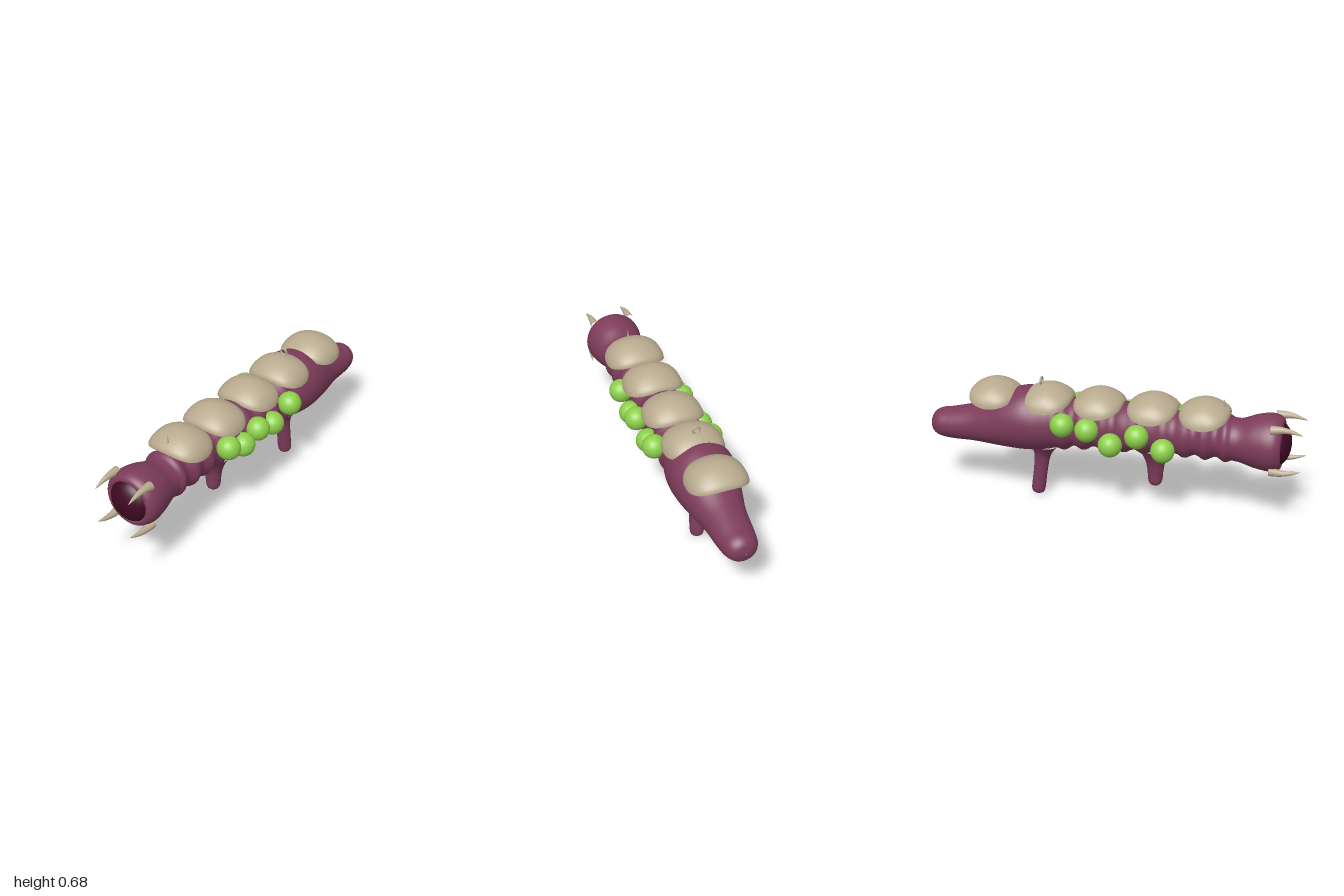
import * as THREE from 'three';

const mat = (name, color, side = THREE.FrontSide) => {
  const m = new THREE.MeshStandardMaterial({ color, side });
  m.name = name;
  return m;
};

// Smooth skin over elliptical rings { x, y, z, rx, ry }, listed from front to back
function loft(rings, sides) {
  const pos = [], index = [];
  rings.forEach((r, i) => {
    for (let j = 0; j < sides; j++) {
      const a = (j / sides) * Math.PI * 2;
      pos.push(r.x + r.rx * Math.cos(a), r.y + r.ry * Math.sin(a), r.z);
      if (i === rings.length - 1) continue;
      const k = (j + 1) % sides;
      const p = i * sides + j, q = i * sides + k;
      index.push(p, p + sides, q, q, p + sides, q + sides);
    }
  });
  const g = new THREE.BufferGeometry();
  g.setAttribute('position', new THREE.Float32BufferAttribute(pos, 3));
  g.setIndex(index);
  g.computeVertexNormals();
  return g;
}

// Body stations: z, top, bottom, half width
const STATIONS = [
  [0.88, 0.54, 0.34, 0.1], [0.893, 0.552, 0.326, 0.113], [0.885, 0.572, 0.306, 0.133],
  [0.855, 0.587, 0.292, 0.149], [0.81, 0.588, 0.293, 0.15], [0.75, 0.575, 0.303, 0.138],
  [0.68, 0.548, 0.322, 0.118], [0.63, 0.55, 0.325, 0.115], [0.5, 0.56, 0.325, 0.118],
  [0.2, 0.565, 0.32, 0.122], [-0.1, 0.57, 0.31, 0.126], [-0.28, 0.58, 0.292, 0.142],
  [-0.38, 0.6, 0.275, 0.165], [-0.46, 0.612, 0.268, 0.173], [-0.55, 0.585, 0.27, 0.163],
  [-0.65, 0.53, 0.275, 0.137], [-0.75, 0.485, 0.28, 0.112], [-0.88, 0.45, 0.28, 0.097],
  [-0.95, 0.436, 0.29, 0.082], [-0.985, 0.41, 0.315, 0.053], [-1, 0.365, 0.36, 0.003],
];

function bodyGeometry() {
  const rings = [];
  const steps = 14;
  for (let i = 0; i < STATIONS.length - 1; i++) {
    const at = (k) => STATIONS[Math.min(Math.max(k, 0), STATIONS.length - 1)];
    for (let s = 0; s < steps + (i === STATIONS.length - 2 ? 1 : 0); s++) {
      const t = s / steps;
      const [z, top, bottom, w] = [0, 1, 2, 3].map((c) => {
        const a = at(i - 1)[c], b = at(i)[c], d = at(i + 1)[c], e = at(i + 2)[c];
        return b + 0.5 * t * (d - a + t * (2 * a - 5 * b + 4 * d - e + t * (3 * (b - d) + e - a)));
      });
      // ridged folds around the middle of the body
      const fade = THREE.MathUtils.smoothstep(z, -0.34, -0.22) * (1 - THREE.MathUtils.smoothstep(z, 0.61, 0.66));
      const ridge = 0.011 * fade * Math.cos(((z - 0.61) / 0.107) * Math.PI * 2);
      rings.push({ x: 0, y: (top + bottom) / 2, z, rx: w + ridge, ry: (top - bottom) / 2 + ridge });
    }
  }
  return loft(rings, 48);
}

// Open shell whose rim arches up at its front and back ends
function plateGeometry() {
  const g = new THREE.SphereGeometry(1, 40, 16, 0, Math.PI * 2, 0, Math.PI / 2);
  const p = g.attributes.position;
  for (let i = 0; i < p.count; i++) {
    const x = p.getX(i), y = p.getY(i), z = p.getZ(i);
    const fuller = 1 + 0.35 * x * x * z * z;
    p.setXYZ(i, 0.156 * x * fuller, 0.118 * y + 0.042 * z * z * (1 - y), 0.13 * z * fuller);
  }
  g.computeVertexNormals();
  return g;
}

// Curved tooth, tip first; up is +1 for the upper pair and -1 for the lower pair
function toothGeometry(up) {
  const rings = [];
  for (let i = 0; i <= 12; i++) {
    const t = i / 12;
    const r = 0.001 + 0.023 * Math.pow(t, 0.8);
    rings.push({ x: 0, y: up * (0.014 * t + 0.012 * Math.sin(Math.PI * t)), z: -0.16 * t, rx: r, ry: r });
  }
  return loft(rings, 16);
}

export function createModel() {
  const group = new THREE.Group();
  const skin = mat('plum skin', 0x7d3c5a);
  const bone = mat('bone', 0xb8aa8e);
  const shell = mat('bone shell', 0xb8aa8e, THREE.DoubleSide);
  const green = mat('green', 0x8ed04b);
  const dark = mat('dark mouth', 0x3f0a22);

  const add = (name, geometry, material, x = 0, y = 0, z = 0) => {
    const m = new THREE.Mesh(geometry, material);
    m.name = name;
    m.position.set(x, y, z);
    group.add(m);
    return m;
  };

  add('body', bodyGeometry(), skin);

  // Mouth
  add('mouth', new THREE.SphereGeometry(1, 40, 24), dark, 0, 0.439, 0.87).scale.set(0.112, 0.112, 0.066);
  for (const side of [-1, 1]) {
    add('upperTooth', toothGeometry(1), bone, side * 0.102, 0.535, 1);
    add('lowerTooth', toothGeometry(-1), bone, side * 0.102, 0.34, 1);
  }

  // Legs
  const leg = (name, profile, y, z, tilt) => {
    const pts = profile.map(([r, h]) => new THREE.Vector2(r, h));
    const curve = new THREE.SplineCurve(pts);
    add(name, new THREE.LatheGeometry(curve.getPoints(32), 28), skin, 0, y, z).rotation.x = tilt;
  };
  leg('frontLeg', [[0, 0], [0.022, 0.006], [0.036, 0.026], [0.041, 0.075], [0.05, 0.13], [0.07, 0.18], [0.095, 0.22]], 0.126, 0.235, 0);
  leg('rearLeg', [[0, 0], [0.022, 0.006], [0.036, 0.028], [0.037, 0.12], [0.04, 0.2], [0.05, 0.25], [0.08, 0.3]], 0.001, -0.413, 0.13);

  // Back plates
  const plate = plateGeometry();
  for (const z of [0.49, 0.22, -0.065, -0.34, -0.632]) add('backPlate', plate, shell, 0, 0.525, z);

  // Small spike and ring on the plates
  add('spike', new THREE.ConeGeometry(0.008, 0.06, 12), bone, 0, 0.626, 0.585);
  add('ring', new THREE.TorusGeometry(0.018, 0.005, 10, 28), bone, 0, 0.654, -0.38);

  // Round growths: x, y, z
  const ball = new THREE.SphereGeometry(0.062, 28, 20);
  const growths = [
    [0.149, 0.48, 0.297], [0.142, 0.425, 0.167], [0.152, 0.465, 0.056], [0.142, 0.42, -0.085], [0.158, 0.48, -0.215],
    [-0.16, 0.4, 0.305], [-0.145, 0.455, 0.165], [-0.16, 0.4, 0.03], [-0.14, 0.46, -0.1], [-0.143, 0.475, -0.23],
  ];
  for (const [x, y, z] of growths) add('growth', ball, green, x, y, z);

  return group;
}
